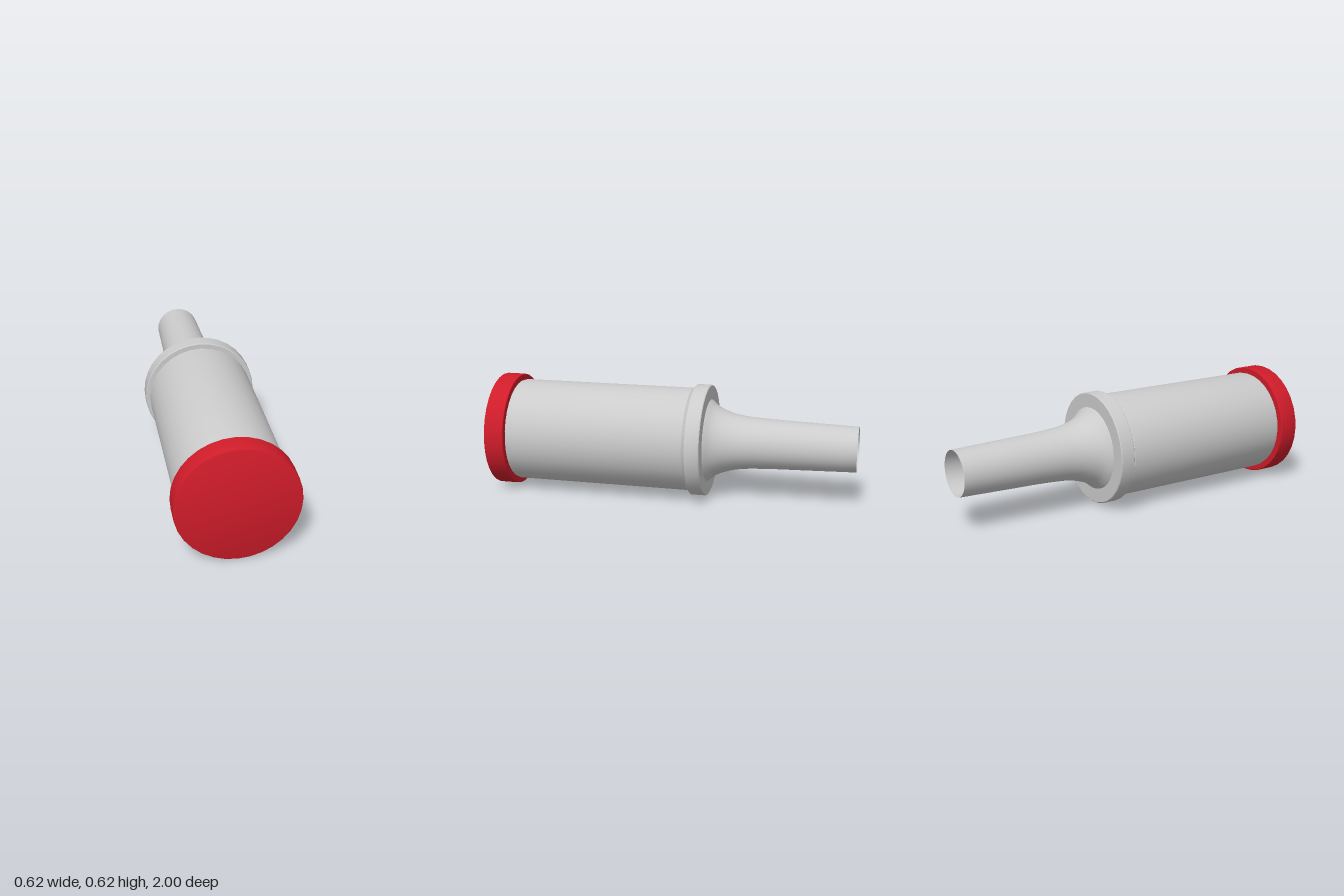
import * as THREE from 'three';
import { toCreasedNormals } from 'three/addons/utils/BufferGeometryUtils.js';

const AXIS_HEIGHT = 0.313;
const SIDES = 32;

// Turned part around the z axis; the profile is [radius, z] from back to front.
function turned(name, profile, material) {
  const points = profile.map(([r, z]) => new THREE.Vector2(r, z));
  const geometry = new THREE.LatheGeometry(points, SIDES);
  geometry.rotateX(Math.PI / 2);
  const mesh = new THREE.Mesh(toCreasedNormals(geometry, 0.6), material);
  mesh.name = name;
  mesh.position.y = AXIS_HEIGHT;
  return mesh;
}

export function createModel() {
  const group = new THREE.Group();
  group.name = 'cylinderWithSpout';

  const grey = new THREE.MeshStandardMaterial({ color: 0xcccccc });
  const thinGrey = new THREE.MeshStandardMaterial({ color: 0xcccccc, side: THREE.DoubleSide });
  const red = new THREE.MeshStandardMaterial({ color: 0xd01c2a });

  // Main barrel, slightly eased at both ends
  group.add(turned('barrel', [
    [0.274, -0.12], [0.274, -0.108], [0.282, -0.098], [0.282, 0.875], [0.276, 0.893],
  ], grey));

  // Collar between barrel and spout
  group.add(turned('collar', [
    [0.222, -0.197], [0.3, -0.197], [0.304, -0.193], [0.304, -0.119], [0.3, -0.115], [0.27, -0.115],
  ], grey));

  // Open tapered spout flaring into the collar
  const flare = new THREE.CatmullRomCurve3([
    [0.122, -1], [0.13, -0.72], [0.137, -0.5], [0.148, -0.37],
    [0.166, -0.295], [0.193, -0.235], [0.225, -0.197],
  ].map(([r, z]) => new THREE.Vector3(r, z, 0)));
  group.add(turned('spout', flare.getPoints(24).map((p) => [p.x, p.y]), thinGrey));

  // Closed end cap with a small rounded front edge
  group.add(turned('endCap', [
    [0.27, 0.89], [0.309, 0.89], [0.312, 0.893], [0.312, 0.993],
    [0.31, 0.998], [0.305, 1], [0, 1],
  ], red));

  return group;
}
